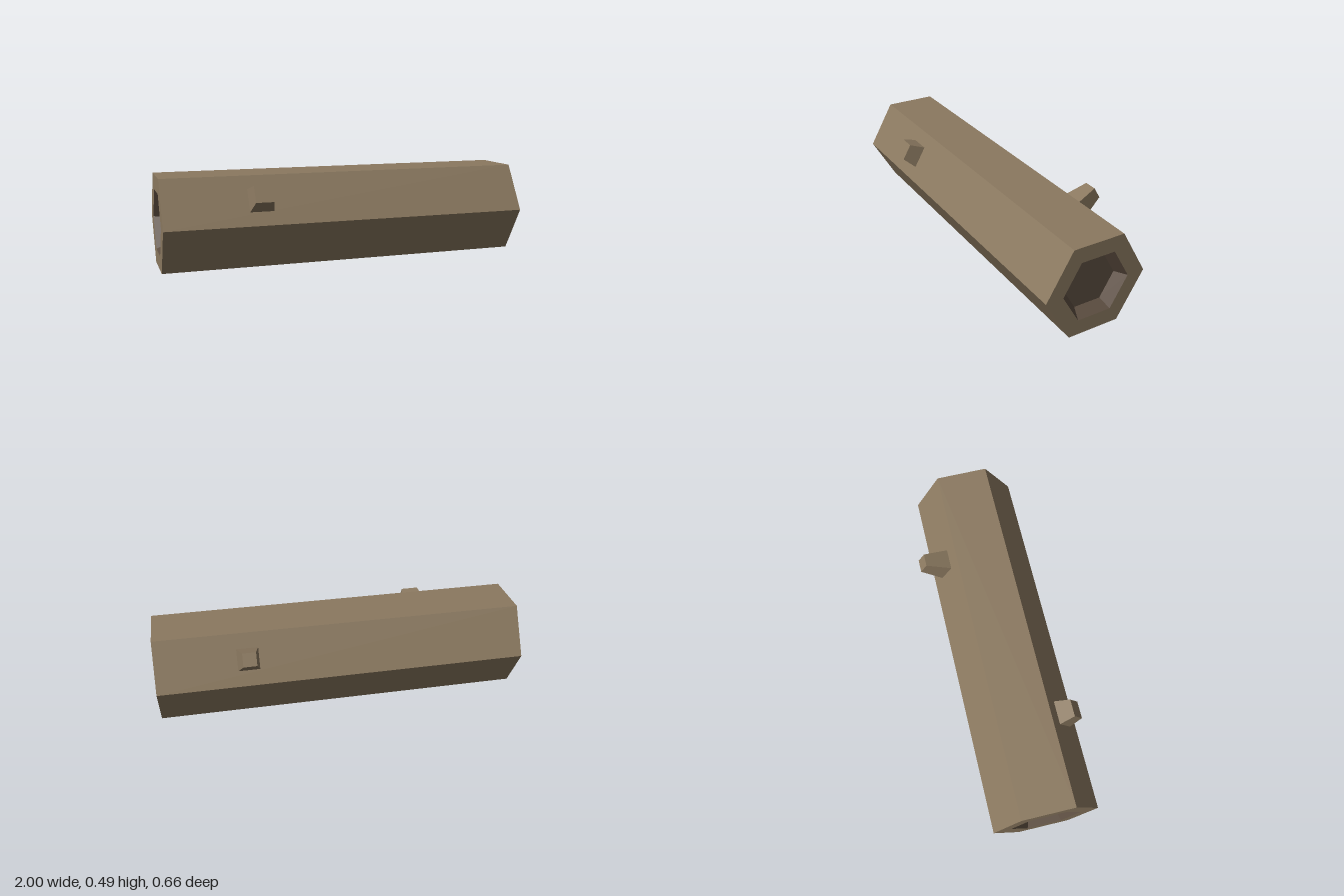
import * as THREE from 'three';

const BARK = 0x8b7960, HOLLOW = 0x5c4d40;
const CY = 0.244, CZ = 0.0215; // axis of the log
const APOTHEM = 0.244, OUTER = 0.2815, RIM = 0.1865, FLOOR = 0.1485, DEPTH = 0.06;

const material = (color) =>
  new THREE.MeshStandardMaterial({ color, flatShading: true });

// Six-sided solid of revolution laid along x, with corners on the z axis
function hexLathe(name, profile, color) {
  const points = profile.map(([r, h]) => new THREE.Vector2(r, h));
  const geometry = new THREE.LatheGeometry(points, 6).rotateZ(-Math.PI / 2);
  const mesh = new THREE.Mesh(geometry, material(color));
  mesh.name = name;
  mesh.position.set(0, CY, CZ);
  return mesh;
}

// Square tapered stub standing on an upper slanted face; side is +1 front, -1 back
function branchStub(name, x, side, baseWidth, tipWidth, length) {
  const sink = 0.01;
  const geometry = new THREE.CylinderGeometry(
    tipWidth / Math.SQRT2, baseWidth / Math.SQRT2, length + sink, 4)
    .rotateY(Math.PI / 4)
    .translate(0, APOTHEM + (length - sink) / 2, 0);
  const mesh = new THREE.Mesh(geometry, material(BARK));
  mesh.name = name;
  mesh.rotation.x = side * Math.PI / 3;
  mesh.position.set(x, CY, CZ);
  return mesh;
}

export function createModel() {
  const group = new THREE.Group();
  group.name = 'hollowLog';

  // Bark and the flat end rings
  group.add(hexLathe('bark', [[RIM, -1], [OUTER, -1], [OUTER, 1], [RIM, 1]], BARK));

  // Dark tapered recess in each end
  group.add(hexLathe('leftEndRecess', [[RIM, 1], [FLOOR, 1 - DEPTH], [0, 1 - DEPTH]], HOLLOW));
  group.add(hexLathe('rightEndRecess', [[0, DEPTH - 1], [FLOOR, DEPTH - 1], [RIM, -1]], HOLLOW));

  // Cut branches
  group.add(branchStub('frontBranch', -0.495, 1, 0.131, 0.093, 0.085));
  group.add(branchStub('backBranch', 0.513, -1, 0.119, 0.071, 0.141));

  return group;
}
